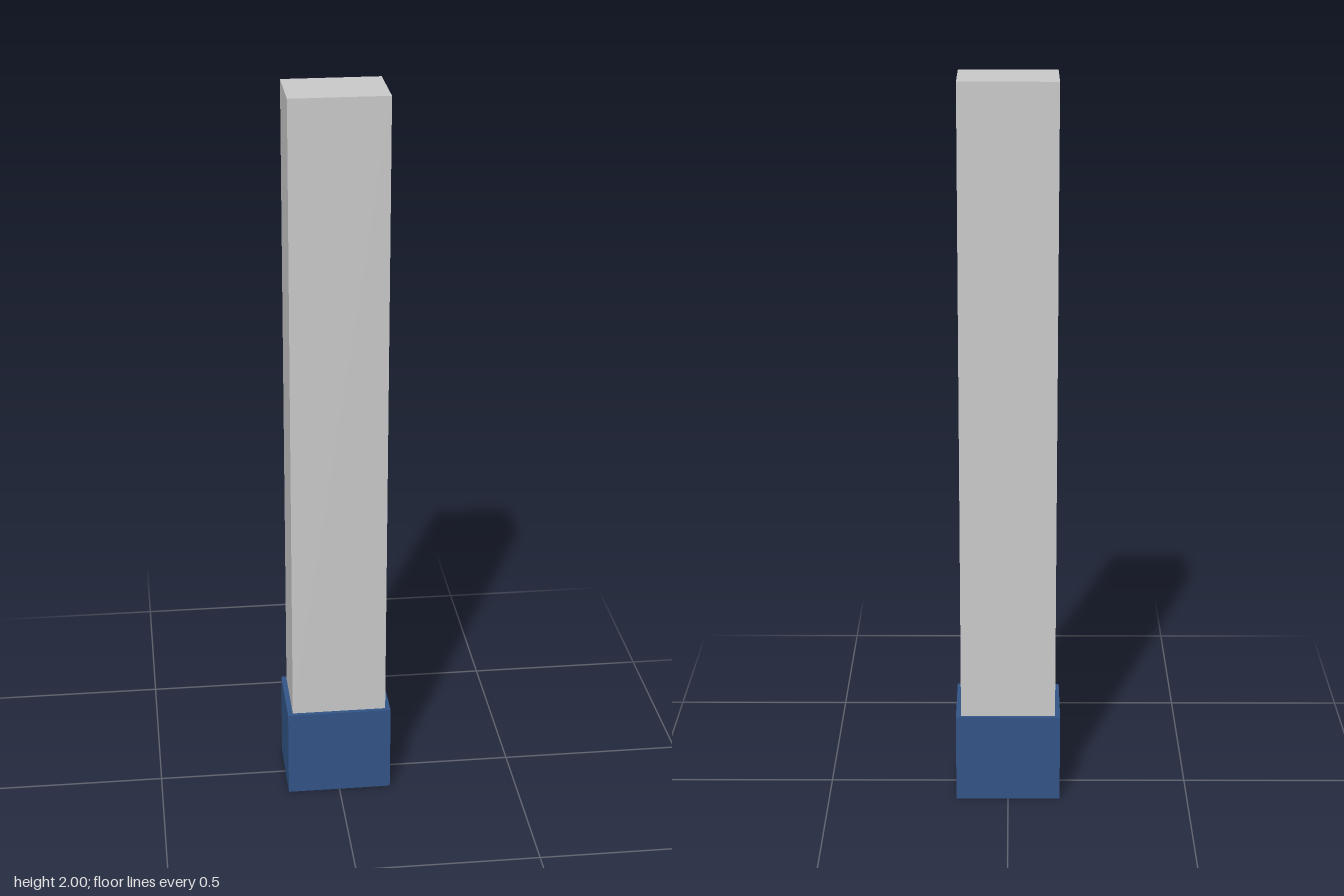
import * as THREE from 'three';

const WIDTH = 0.26, DEPTH = 0.194; // post section
const CAP_WIDTH = 0.288, CAP_DEPTH = 0.217; // foot cap section
const HEIGHT = 2, CAP_HEIGHT = 0.25;

// Box without its underside
function openBottomBox(w, h, d) {
  const geometry = new THREE.BoxGeometry(w, h, d);
  const index = Array.from(geometry.index.array);
  index.splice(18, 6); // drop the -y face
  geometry.setIndex(index);
  geometry.clearGroups();
  return geometry;
}

export function createModel() {
  const group = new THREE.Group();
  group.name = 'tableLeg';

  // Plain rectangular post, resting on the foot cap
  const post = new THREE.Mesh(
    new THREE.BoxGeometry(WIDTH, HEIGHT - CAP_HEIGHT, DEPTH),
    new THREE.MeshStandardMaterial({ color: 0xcccccc })
  );
  post.name = 'post';
  post.position.y = (HEIGHT + CAP_HEIGHT) / 2;

  // Thin hollow foot cap, open underneath
  const footCap = new THREE.Mesh(
    openBottomBox(CAP_WIDTH, CAP_HEIGHT, CAP_DEPTH),
    new THREE.MeshStandardMaterial({ color: 0x335588, side: THREE.DoubleSide })
  );
  footCap.name = 'footCap';
  footCap.position.y = CAP_HEIGHT / 2;

  group.add(post, footCap);
  return group;
}
